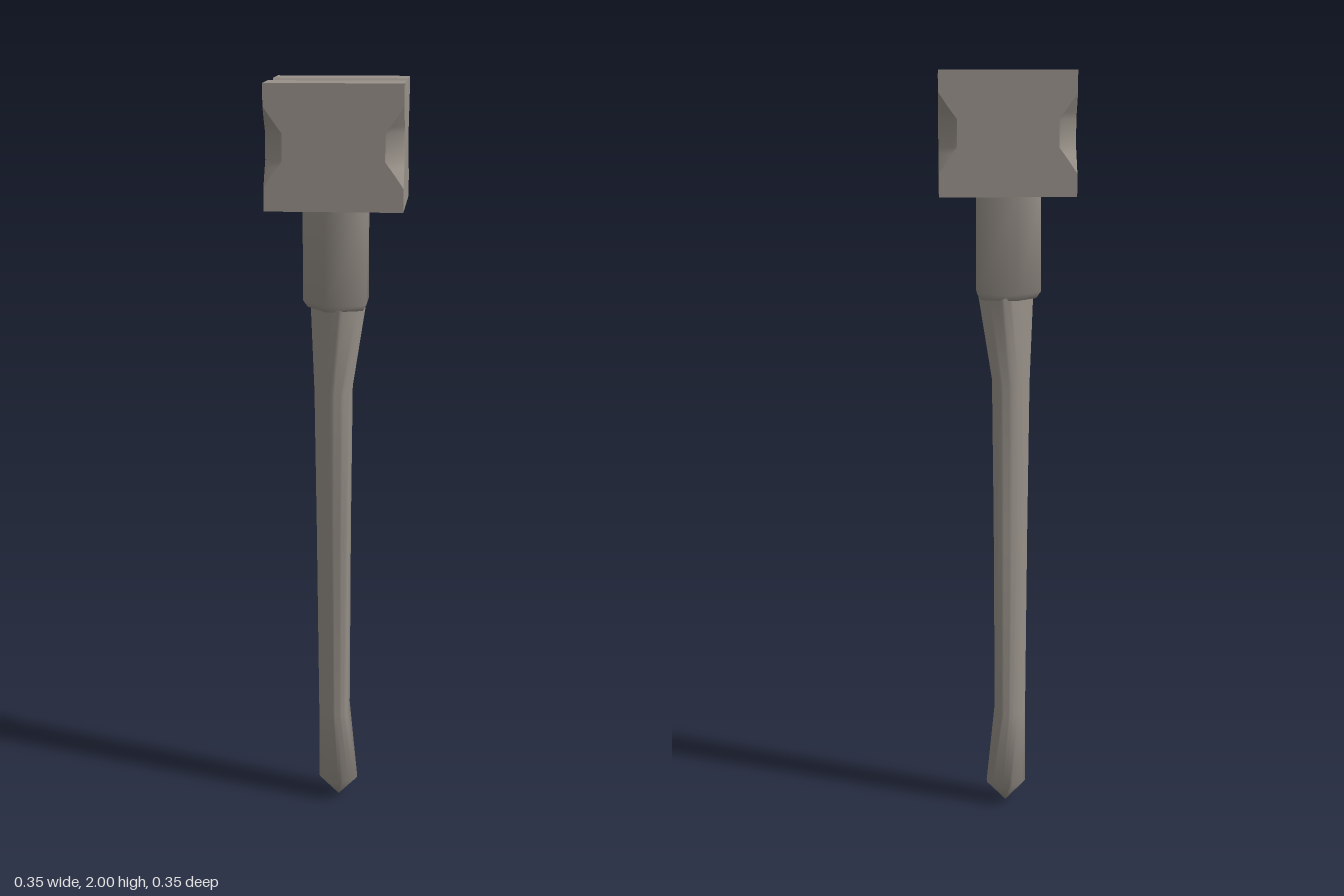
import * as THREE from 'three';
import { toCreasedNormals } from 'three/addons/utils/BufferGeometryUtils.js';

const material = new THREE.MeshStandardMaterial({ color: 0x989189 });

// Skins a stack of rings (counter-clockwise from above, listed bottom to top)
function loft(rings, { top = true, extra = [], crease = 0.5 } = {}) {
  const pos = [];
  const t = new THREE.Triangle();
  // Adds a triangle unless it has collapsed
  const tri = (a, b, c) => {
    t.a.fromArray(a); t.b.fromArray(b); t.c.fromArray(c);
    if (t.getArea() > 1e-9) pos.push(...a, ...b, ...c);
  };
  const n = rings[0].length;
  for (let j = 0; j + 1 < rings.length; j++) {
    for (let i = 0; i < n; i++) {
      const a = rings[j][i], b = rings[j][(i + 1) % n];
      const c = rings[j + 1][(i + 1) % n], d = rings[j + 1][i];
      tri(a, b, c);
      tri(a, c, d);
    }
  }
  const cap = (ring, up) => {
    const m = [0, 1, 2].map((k) => ring.reduce((s, p) => s + p[k], 0) / n);
    ring.forEach((p, i) => {
      const q = ring[(i + 1) % n];
      if (up) tri(m, p, q); else tri(m, q, p);
    });
  };
  cap(rings[0], false);
  if (top) cap(rings[rings.length - 1], true);
  for (const [a, b, c, d] of extra) { tri(a, b, c); tri(a, c, d); }
  const geo = new THREE.BufferGeometry();
  geo.setAttribute('position', new THREE.Float32BufferAttribute(pos, 3));
  return toCreasedNormals(geo, crease);
}

// Five-sided section with a flat towards +x
function pentagonRing(y, r) {
  return Array.from({ length: 5 }, (_, i) => {
    const a = Math.PI * (0.2 + 0.4 * i);
    return [r * Math.cos(a), y, -r * Math.sin(a)];
  });
}

// Superellipse section of radius r and power p (2 = round, 1 = diamond), cut flat at x = flat
function handleRing(y, r, flat, p, n = 40) {
  const start = Math.acos(Math.min(1, (flat / r) ** (p / 2)));
  const bend = (v) => Math.sign(v) * Math.abs(v) ** (2 / p);
  return Array.from({ length: n + 1 }, (_, i) => {
    const a = start + (2 * Math.PI - 2 * start) * (i / n);
    return [r * bend(Math.cos(a)), y, -r * bend(Math.sin(a))];
  });
}

// Square block with a V groove on top and turned notches in its upright edges
function headGeometry() {
  const half = 0.174, base = 1.687, topY = 2, grooveHalf = 0.055, grooveY = 1.92;
  const corner = half * Math.SQRT2, waist = 0.216;
  const topAt = (z) => grooveY + (topY - grooveY) * Math.min(Math.abs(z) / grooveHalf, 1);
  const rows = [[base, corner]];
  for (let i = 0; i <= 4; i++) rows.push([1.745 + 0.065 * i / 4, corner + (waist - corner) * i / 4]);
  for (let i = 0; i <= 4; i++) rows.push([1.88 + 0.065 * i / 4, waist + (corner - waist) * i / 4]);
  rows.push([topY, corner]);

  const rings = rows.map(([y, r]) => {
    const ring = [];
    const put = (x, z) => ring.push([x, Math.min(y, topAt(z)), z]);
    const a0 = Math.acos(Math.min(1, half / r));
    for (let k = 0; k < 4; k++) {
      // Side columns that follow the groove
      if (k % 2 === 0) {
        const s = k === 0 ? 1 : -1;
        for (const z of [grooveHalf, 0, -grooveHalf]) put(s * half, s * z);
      }
      // Turned corner
      for (let i = 0; i <= 8; i++) {
        const a = k * Math.PI / 2 + a0 + (Math.PI / 2 - 2 * a0) * i / 8;
        put(r * Math.cos(a), -r * Math.sin(a));
      }
    }
    return ring;
  });

  // Top face strips, including both groove slopes
  const zs = [half, grooveHalf, 0, -grooveHalf, -half];
  const extra = zs.slice(1).map((z1, i) => {
    const z0 = zs[i];
    return [[-half, topAt(z0), z0], [half, topAt(z0), z0], [half, topAt(z1), z1], [-half, topAt(z1), z1]];
  });
  return loft(rings, { top: false, extra });
}

export function createModel() {
  const group = new THREE.Group();
  const add = (name, geometry) => {
    const mesh = new THREE.Mesh(geometry, material);
    mesh.name = name;
    group.add(mesh);
  };

  add('head', headGeometry());

  // Five-sided collar under the head, with a chamfered lower rim
  add('collar', loft([
    pentagonRing(1.415, 0.082),
    pentagonRing(1.432, 0.094),
    pentagonRing(1.69, 0.094),
  ], { crease: 1.3 }));

  // Handle: [height, radius, flat position, power], scooped on +x, with a pointed tip
  add('handle', loft([
    [0.005, 0.001, 0.001, 1.4],
    [0.06, 0.055, 0.052, 1.4],
    [0.27, 0.055, 0.028, 1.7],
    [0.8, 0.06, 0.03, 1.8],
    [1.19, 0.065, 0.034, 1.7],
    [1.425, 0.074, 0.072, 1.25],
  ].map((row) => handleRing(...row)), { crease: 1.2 }));

  return group;
}
